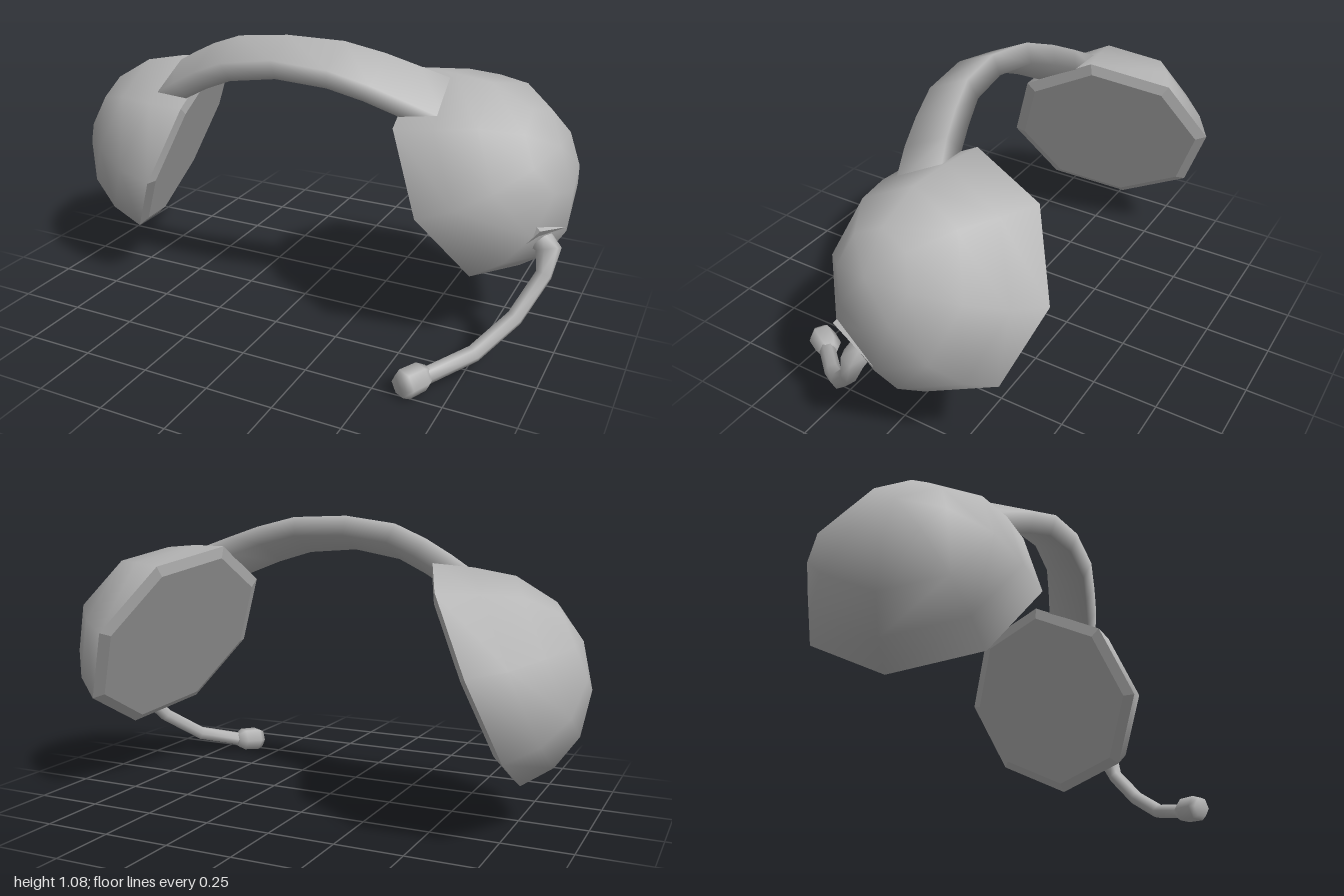
import * as THREE from 'three';
import { mergeVertices } from 'three/addons/utils/BufferGeometryUtils.js';

const V = (x, y, z) => new THREE.Vector3(x, y, z);
const grey = new THREE.MeshStandardMaterial({ color: 0xb6b6b6 });
grey.name = 'grey';

// Skins a list of closed rings, each running counter-clockwise about the direction of travel
function loft(rings, flat = false) {
  const n = rings[0].length, index = [];
  for (let i = 0; i < rings.length - 1; i++) {
    for (let j = 0; j < n; j++) {
      const a = i * n + j, b = i * n + (j + 1) % n;
      index.push(a, b, b + n, a, b + n, a + n);
    }
  }
  let g = new THREE.BufferGeometry().setFromPoints(rings.flat());
  g.setIndex(index);
  g = flat ? g.toNonIndexed() : mergeVertices(g, 1e-4);
  g.computeVertexNormals();
  return g;
}

function mesh(name, geometry) {
  const m = new THREE.Mesh(geometry, grey);
  m.name = name;
  return m;
}

// Eight-sided ear cup: a sagging dome with a flat inner pad
function earCup(side) {
  const centre = V(0.61 * side, 0.58, -0.115);
  const axis = V(side, 0.5, 0.25).normalize();
  const down = V(0, -1, 0).addScaledVector(axis, axis.y).normalize();
  const across = axis.clone().cross(down);
  const ring = ([along, radius, sag]) => Array.from({ length: 8 }, (_, i) => {
    const a = i * Math.PI / 4 + side * 0.15;
    return centre.clone().addScaledVector(axis, along)
      .addScaledVector(down, sag + radius * Math.cos(a))
      .addScaledVector(across, radius * Math.sin(a));
  });
  const dome = [[0, 0.415, 0], [0.13, 0.37, 0.025], [0.25, 0.295, 0.03], [0.345, 0.16, 0.03], [0.378, 0, 0.025]];
  const pad = [[-0.018, 0, 0], [-0.018, 0.372, 0], [0, 0.415, 0]];
  const g = new THREE.Group();
  g.name = side > 0 ? 'leftEarCup' : 'rightEarCup';
  g.add(mesh('cupShell', loft(dome.map(ring))), mesh('earPad', loft(pad.map(ring), true)));
  return g;
}

// Forward-leaning headband with a flat rectangular section
function headband() {
  const half = [[0.57, 0.84, 0.01], [0.44, 0.905, 0.065], [0.33, 0.955, 0.1], [0.2, 1.0, 0.137]];
  const pts = [
    ...half.map(([x, y, z]) => V(-x, y, z)),
    V(0, 1.02, 0.155),
    ...half.slice().reverse().map(p => V(...p)),
  ];
  const rings = pts.map((p, i) => {
    const t = pts[Math.min(i + 1, pts.length - 1)].clone().sub(pts[Math.max(i - 1, 0)]).normalize();
    const spread = Math.abs(p.x) / 0.5;
    const w = V(0, 0.03 + 0.012 * spread, -0.073 - 0.014 * spread);
    const h = t.clone().cross(w).setLength(0.04);
    return [[1, 1], [-1, 1], [-1, -1], [1, -1]].map(([a, b]) =>
      p.clone().addScaledVector(w, a).addScaledVector(h, b));
  });
  return mesh('headband', loft(rings));
}

// Square frame on the cup that carries the boom
function boomMount() {
  const ex = V(0.05, -0.05, -0.19).normalize();
  const ez = V(0.75, -0.57, 0.36).normalize();
  const ey = ez.clone().cross(ex).normalize();
  ez.crossVectors(ex, ey);
  const square = (S, w, h) => [[-w, -h], [w, -h], [w, h], [-w, h]].map(([x, y]) => new THREE.Vector2(x, y));
  const shape = new THREE.Shape(square(0, 0.105, 0.082));
  shape.holes.push(new THREE.Path(square(0, 0.07, 0.05).reverse()));
  const frame = mesh('mountFrame', new THREE.ExtrudeGeometry(shape, { depth: 0.06, bevelEnabled: false }));
  frame.position.z = -0.055;
  const floor = mesh('mountFloor', new THREE.BoxGeometry(0.15, 0.11, 0.03));
  floor.position.z = -0.035;
  const g = new THREE.Group();
  g.name = 'boomMount';
  g.add(frame, floor);
  g.quaternion.setFromRotationMatrix(new THREE.Matrix4().makeBasis(ex, ey, ez));
  g.position.set(0.905, 0.43, 0.015);
  return g;
}

// Bent boom arm with a stubby microphone at its tip
function microphone() {
  const path = new THREE.CurvePath();
  const pts = [V(0.91, 0.45, 0.01), V(0.95, 0.42, 0.025), V(0.948, 0.335, 0.055), V(0.885, 0.205, 0.165),
    V(0.785, 0.105, 0.29), V(0.665, 0.06, 0.425)];
  const rings = pts.map((p, i) => {
    const t = pts[Math.min(i + 1, pts.length - 1)].clone().sub(pts[Math.max(i - 1, 0)]).normalize();
    const u = V(0.8, 0, 0.6).addScaledVector(t, -t.dot(V(0.8, 0, 0.6))).normalize();
    const v = t.clone().cross(u);
    const r = i < 2 ? 0.045 : 0.03;
    return Array.from({ length: 6 }, (_, k) => p.clone()
      .addScaledVector(u, r * Math.cos(k * Math.PI / 3))
      .addScaledVector(v, r * Math.sin(k * Math.PI / 3)));
  });
  const profile = [[0, -0.065], [0.03, -0.065], [0.05, -0.035], [0.052, 0.035], [0.04, 0.058], [0, 0.058]];
  const head = mesh('microphoneHead', new THREE.LatheGeometry(profile.map(([r, y]) => new THREE.Vector2(r, y)), 6));
  head.quaternion.setFromUnitVectors(V(0, 1, 0), V(-0.5, -0.08, 0.85).normalize());
  head.position.set(0.632, 0.055, 0.463);
  const g = new THREE.Group();
  g.name = 'microphone';
  g.add(mesh('boomArm', loft(rings)), head);
  return g;
}

export function createModel() {
  const model = new THREE.Group();
  model.name = 'headset';

  // Cups and band share a slight sideways lean about their middle
  const lean = new THREE.Group();
  lean.name = 'cupsAndBand';
  lean.position.set(0, 0.58, -0.115);
  lean.rotation.set(0, 0.02, 0.05);
  const parts = new THREE.Group();
  parts.name = 'symmetricParts';
  parts.position.copy(lean.position).negate();
  parts.add(earCup(1), earCup(-1), headband());
  lean.add(parts);

  model.add(lean, boomMount(), microphone());
  return model;
}
